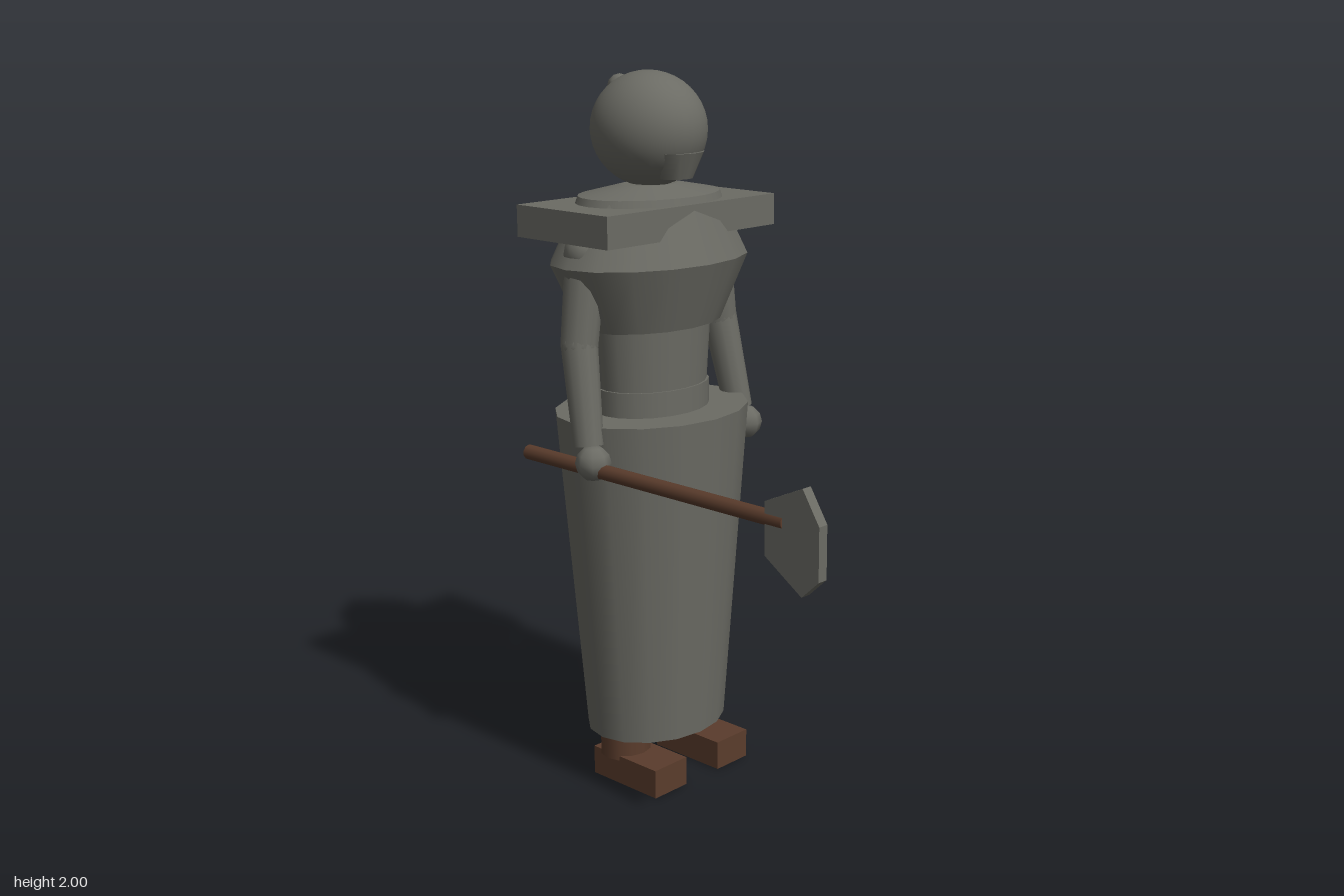
import * as THREE from 'three';

const grey = new THREE.MeshStandardMaterial({ color: 0x6b6b64 });
grey.name = 'stone grey';
const brown = new THREE.MeshStandardMaterial({ color: 0x5a3c2c });
brown.name = 'dark brown';

const BODY_Z = -0.31;

export function createModel() {
  const model = new THREE.Group();
  model.name = 'robedFigure';

  const add = (name, geometry, material, x, y, z) => {
    const mesh = new THREE.Mesh(geometry, material);
    mesh.name = name;
    mesh.position.set(x, y, z);
    model.add(mesh);
    return mesh;
  };

  // Oval frustum centred on the body axis; depth is the z/x ratio
  const frustum = (name, y0, y1, r0, r1, depth, sides = 16) => {
    const geometry = new THREE.CylinderGeometry(r1, r0, y1 - y0, sides);
    geometry.scale(1, 1, depth);
    return add(name, geometry, grey, 0, (y0 + y1) / 2, BODY_Z);
  };

  // Tapered round limb between two points
  const limb = (name, a, b, ra, rb) => {
    const from = new THREE.Vector3(...a), to = new THREE.Vector3(...b);
    const dir = to.clone().sub(from);
    const mid = from.clone().add(to).multiplyScalar(0.5);
    const mesh = add(name, new THREE.CylinderGeometry(rb, ra, dir.length(), 12), grey, mid.x, mid.y, mid.z);
    mesh.quaternion.setFromUnitVectors(new THREE.Vector3(0, 1, 0), dir.normalize());
  };

  // Robe and torso
  frustum('skirt', 0.14, 1.08, 0.217, 0.295, 0.83);
  frustum('belt', 1.06, 1.15, 0.18, 0.18, 0.765, 20);
  frustum('waist', 1.13, 1.33, 0.172, 0.186, 0.76, 20);
  frustum('lowerChest', 1.32, 1.5, 0.225, 0.315, 0.705);
  frustum('upperChest', 1.5, 1.665, 0.315, 0.225, 0.705);
  frustum('collar', 1.655, 1.675, 0.23, 0.222, 0.72, 24);
  frustum('neckSlope', 1.675, 1.7, 0.222, 0.09, 0.72, 24);
  add('shoulderYoke', new THREE.BoxGeometry(0.64, 0.086, 0.347), grey, 0, 1.613, -0.315);

  // Head with muzzle and a small knot at the back
  add('head', new THREE.SphereGeometry(1, 32, 20), grey, 0, 1.845, BODY_Z).scale.set(0.15, 0.155, 0.168);
  const muzzle = add('muzzle', new THREE.CylinderGeometry(0.085, 0.05, 0.07, 12), grey, 0, 1.755, -0.207);
  muzzle.scale.z = 0.78;
  add('hairKnot', new THREE.SphereGeometry(0.034, 8, 6), grey, 0, 1.952, -0.42);

  // Arms, hands, legs and shoes
  for (const [side, s] of [['left', 1], ['right', -1]]) {
    add(side + 'Shoulder', new THREE.SphereGeometry(0.06, 12, 8), grey, s * 0.24, 1.535, BODY_Z);
    limb(side + 'UpperArm', [s * 0.24, 1.535, BODY_Z], [s * 0.273, 1.29, -0.308], 0.056, 0.051);
    add(side + 'Elbow', new THREE.SphereGeometry(0.051, 12, 8), grey, s * 0.273, 1.295, -0.308);
    limb(side + 'Forearm', [s * 0.273, 1.3, -0.308], [s * 0.296, 1.03, -0.255], 0.05, 0.041);
    add(side + 'Hand', new THREE.SphereGeometry(0.049, 8, 6), grey, s * 0.302, 0.988, -0.232);

    add(side + 'Leg', new THREE.CylinderGeometry(0.073, 0.073, 0.13, 12), brown, s * 0.128, 0.135, -0.308);
    add(side + 'Shoe', new THREE.BoxGeometry(0.125, 0.084, 0.25), brown, s * 0.128, 0.042, -0.25);
  }

  // Long-handled tool in the right hand
  const shaft = add('toolShaft', new THREE.CylinderGeometry(0.021, 0.021, 0.94, 10), brown, -0.3, 0.97, -0.024);
  shaft.rotation.x = Math.PI / 2;

  // Six-sided blade drawn in (z, y), then turned to stand lengthwise
  const outline = [[0.39, 0.875], [0.51, 0.795], [0.563, 0.845], [0.563, 0.985], [0.51, 1.07], [0.39, 1.015]];
  const bladeShape = new THREE.Shape(outline.map(([z, y]) => new THREE.Vector2(-z, y)));
  const bladeGeometry = new THREE.ExtrudeGeometry(bladeShape, { depth: 0.03, bevelEnabled: false });
  bladeGeometry.rotateY(Math.PI / 2);
  add('toolBlade', bladeGeometry, grey, -0.315, 0, 0);

  return model;
}
